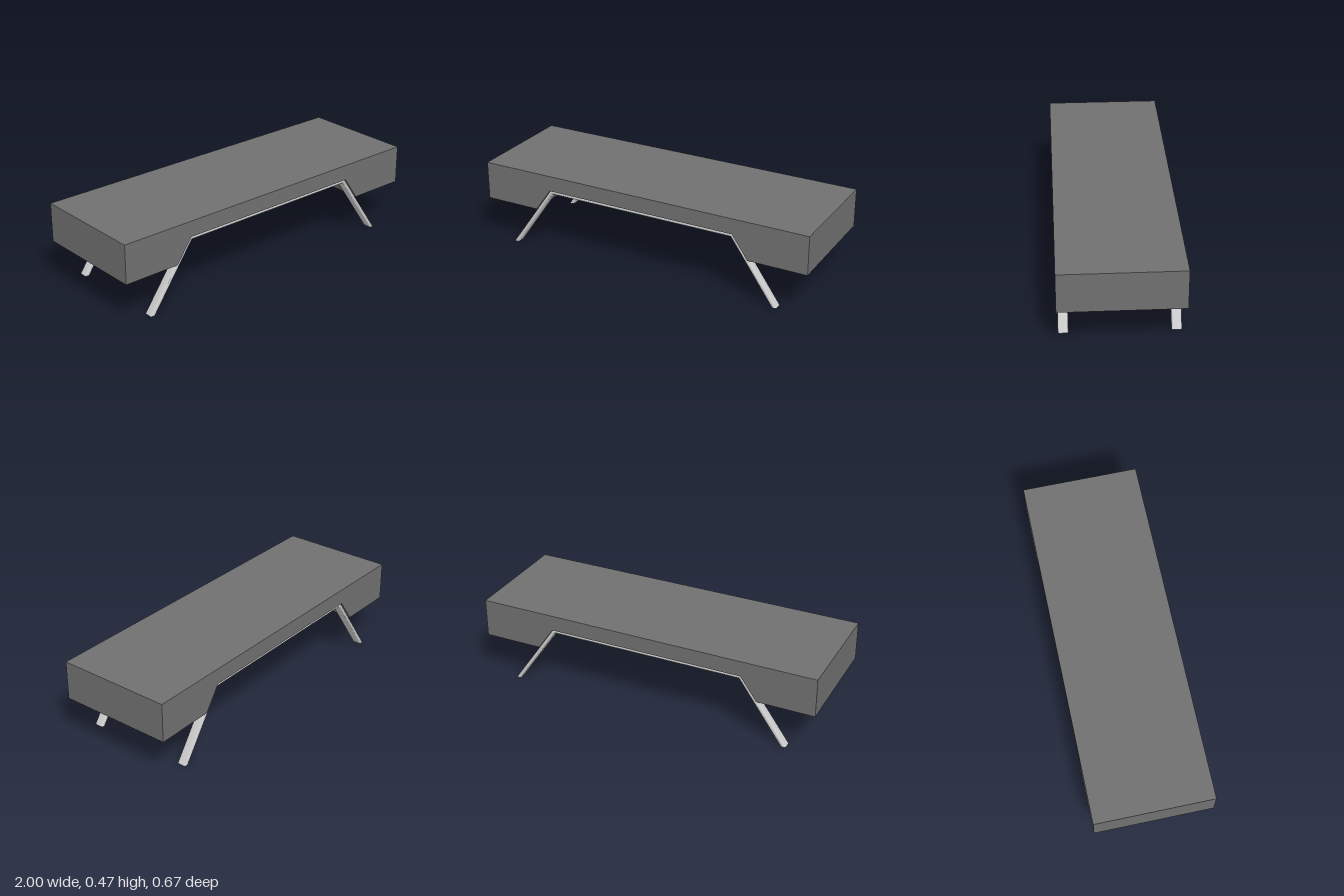
import * as THREE from 'three';
import { toCreasedNormals } from 'three/addons/utils/BufferGeometryUtils.js';

// Outer and inner outline of the bent leg frame: foot, bend, bend, foot
const OUTER = [[-0.845, 0], [-0.575, 0.38], [0.565, 0.38], [0.83, 0]];
const INNER = [[-0.815, 0], [-0.563, 0.358], [0.553, 0.358], [0.803, 0]];

// Rounded bar section: t runs 0..1 from outer to inner outline, z across the bar
function barSection(width, thickness, radius, steps) {
  const points = [];
  for (let corner = 0; corner < 4; corner++) {
    const mid = (corner + 0.5) * Math.PI / 2;
    const st = Math.sign(Math.cos(mid)), sz = Math.sign(Math.sin(mid));
    for (let i = 0; i <= steps; i++) {
      const a = (corner + i / steps) * Math.PI / 2;
      const t = st * (thickness / 2 - radius) + radius * Math.cos(a);
      const z = sz * (width / 2 - radius) + radius * Math.sin(a);
      points.push([0.5 + t / thickness, z]);
    }
  }
  return points;
}

// Sweep the section through mitred bends, with flat feet
function frameGeometry() {
  const section = barSection(0.055, 0.022, 0.009, 4);
  const n = section.length;
  const rings = OUTER.map((o, i) => section.map(([t, z]) => [
    THREE.MathUtils.lerp(o[0], INNER[i][0], t),
    THREE.MathUtils.lerp(o[1], INNER[i][1], t),
    z,
  ]));
  const positions = [];
  const tri = (a, b, c) => positions.push(...a, ...b, ...c);
  for (let i = 0; i < rings.length - 1; i++) {
    for (let j = 0; j < n; j++) {
      const k = (j + 1) % n;
      const a = rings[i][j], b = rings[i][k], c = rings[i + 1][k], d = rings[i + 1][j];
      tri(a, d, c);
      tri(a, c, b);
    }
  }
  const first = rings[0], last = rings[rings.length - 1];
  for (let j = 1; j < n - 1; j++) {
    tri(first[0], first[j], first[j + 1]);
    tri(last[0], last[j + 1], last[j]);
  }
  const geometry = new THREE.BufferGeometry();
  geometry.setAttribute('position', new THREE.Float32BufferAttribute(positions, 3));
  return toCreasedNormals(geometry, 0.6);
}

export function createModel() {
  const model = new THREE.Group();
  model.name = 'bench';

  // Solid seat block with a trapezoid recess that rests on the frames
  const profile = new THREE.Shape([
    [-1, 0.247], [-0.67, 0.247], [-0.575, 0.38], [0.565, 0.38],
    [0.658, 0.247], [1, 0.247], [1, 0.47], [-1, 0.47],
  ].map(([x, y]) => new THREE.Vector2(x, y)));
  const depth = 0.664;
  const seatGeometry = new THREE.ExtrudeGeometry(profile, { depth, bevelEnabled: false });
  seatGeometry.translate(0, 0, -depth / 2);
  const seat = new THREE.Mesh(seatGeometry, new THREE.MeshStandardMaterial({ color: 0x707070 }));
  seat.name = 'seat';
  model.add(seat);

  // One leg frame along the front edge, one along the back
  const steel = new THREE.MeshStandardMaterial({ color: 0xcccccc });
  const geometry = frameGeometry();
  for (const side of [1, -1]) {
    const frame = new THREE.Mesh(geometry, steel);
    frame.name = side > 0 ? 'frontLegFrame' : 'backLegFrame';
    frame.position.z = side * 0.297;
    model.add(frame);
  }

  // The whole bench sits very slightly turned
  model.rotation.y = -0.0025;
  return model;
}
